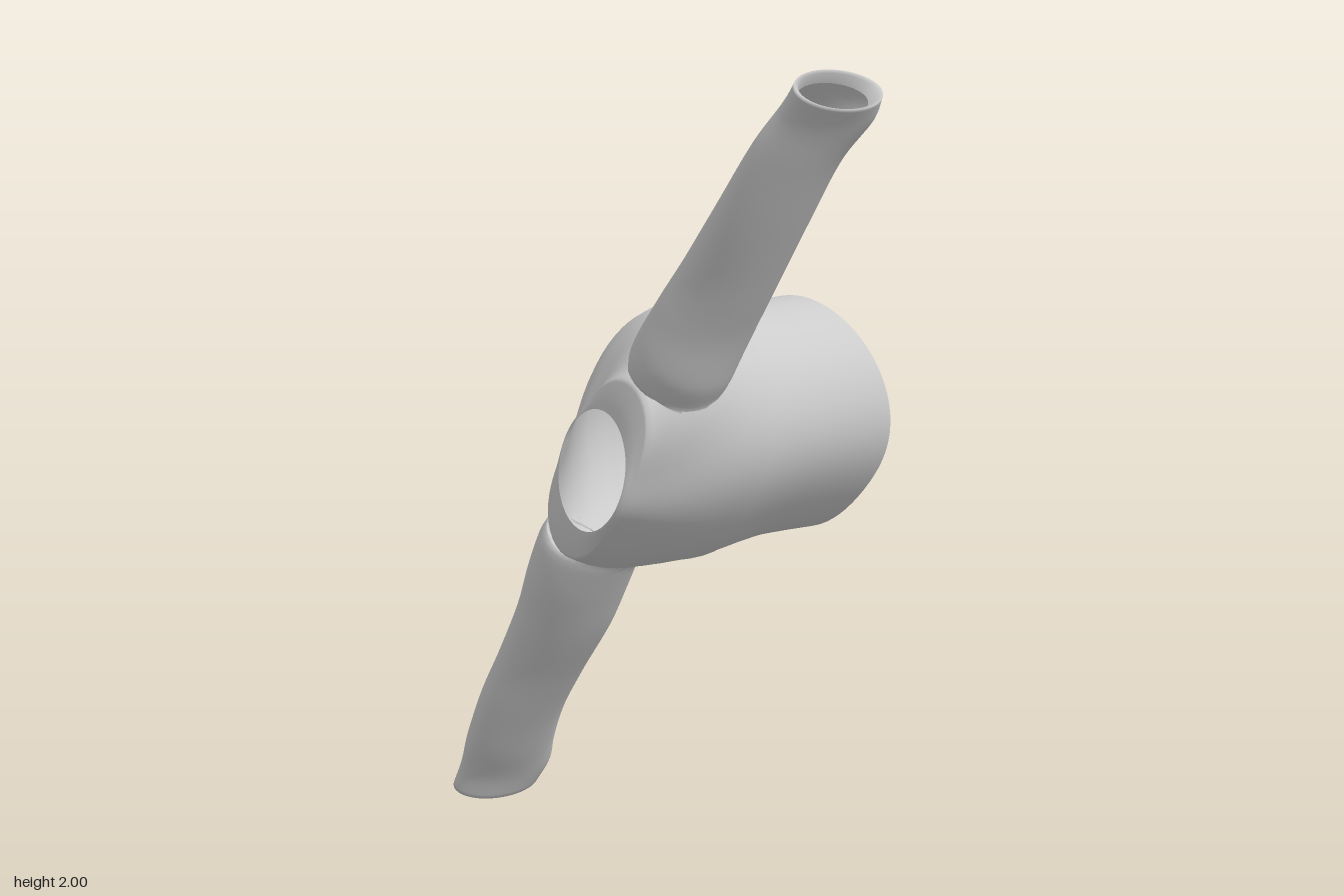
import * as THREE from 'three';

const material = new THREE.MeshStandardMaterial({ color: 0xcccccc, side: THREE.DoubleSide });
const lerp = THREE.MathUtils.lerp;
const V = (a) => new THREE.Vector3(...a);
const ARM_ANGLE = 0.98; // direction of the upper arm in the xy plane

// Body profile at z = -0.4, -0.3 ... 0.5: [radius, bulge towards the arms, centre shift]
const profile = new THREE.CatmullRomCurve3([
  [0.309, 0, 0], [0.306, 0, 0], [0.305, 0, 0], [0.313, 0, 0], [0.325, 0, 0],
  [0.315, 0.08, 0.1], [0.272, 0.27, 0.4], [0.214, 0.5, 0.75], [0.16, 0.65, 1], [0.155, 0.6, 1],
].map(V));

// Centre and radius of the body wall at height z and angle a
function wall(z, a) {
  const p = profile.getPoint(THREE.MathUtils.clamp((z + 0.4) / 0.9, 0, 1));
  const bulge = Math.cos(a - ARM_ANGLE) ** 4;
  // slightly taller than wide, and flatter towards the lower right
  const shape = 1 - (1 - p.z) * (0.012 * Math.cos(2 * a) + 0.06 * Math.max(0, Math.cos(a + 0.7)) ** 8);
  return { x: lerp(-0.1, -0.03, p.z), y: lerp(1.05, 1.0, p.z), r: p.x * shape * (1 + p.y * bulge) };
}

// Smooth skin through closed rings of points
function loft(name, rings) {
  const n = rings[0].length, index = [];
  for (let i = 0; i < rings.length - 1; i++) {
    for (let j = 0; j < n; j++) {
      const k = (j + 1) % n, a = i * n, b = a + n;
      index.push(a + j, a + k, b + k, a + j, b + k, b + j);
    }
  }
  const g = new THREE.BufferGeometry().setFromPoints(rings.flat());
  g.setIndex(index);
  g.computeVertexNormals();
  const mesh = new THREE.Mesh(g, material);
  mesh.name = name;
  return mesh;
}

// Wide open tube, tapering to a small round opening at the front
function body() {
  const rings = [], rows = 56, n = 72;
  // lip = 0 follows the wall, lip = 1 reaches the edge of the front opening
  const addRing = (v, lip) => {
    const ring = [];
    for (let j = 0; j < n; j++) {
      const a = (j / n) * Math.PI * 2;
      const back = -0.385 - 0.045 * Math.max(0, Math.cos(a + 0.1)) ** 2 + 0.012 * Math.min(0, Math.cos(a)) ** 2;
      const front = 0.385 - 0.022 * Math.sin(a) + 0.022 * Math.cos(a);
      const w = wall(lerp(-0.4, 0.4, v), a);
      const rim = 0.15 * (1 + 0.03 * Math.cos(2 * (a - ARM_ANGLE)));
      const r = lerp(w.r, rim, lip);
      const z = lerp(back, front, v) + 0.016 * Math.sin(lip * Math.PI / 2);
      ring.push(new THREE.Vector3(w.x + r * Math.cos(a), w.y + r * Math.sin(a), z));
    }
    rings.push(ring);
  };
  for (let i = 0; i <= rows; i++) addRing(i / rows, 0);
  for (const lip of [0.1, 0.25, 0.5, 0.75, 1]) addRing(1, lip);
  return loft('body', rings);
}

// Flattened side tube: stations are [x, y, z, half width, half depth]
function arm(name, stations) {
  const path = new THREE.CatmullRomCurve3(stations.map((s) => V(s.slice(0, 3))));
  const size = new THREE.CatmullRomCurve3(stations.map((s) => V([s[3], s[4], 0])));
  const rings = [], rows = 44, n = 40;
  const addRing = (t, scale, inset) => {
    const c = path.getPoint(t), s = size.getPoint(t), d = path.getTangent(t).setZ(0).normalize();
    const ring = [];
    for (let j = 0; j < n; j++) {
      const a = (j / n) * Math.PI * 2;
      const w = s.x * scale * Math.cos(a), h = s.y * scale * Math.sin(a);
      const p = new THREE.Vector3(c.x - d.y * w - d.x * inset, c.y + d.x * w - d.y * inset, c.z + h);
      // keep the root of the arm out of the hollow body
      const o = wall(p.z, 0), angle = Math.atan2(p.y - o.y, p.x - o.x);
      const r = wall(p.z, angle).r * 0.99;
      if (Math.hypot(p.x - o.x, p.y - o.y) < r) {
        p.x = o.x + r * Math.cos(angle);
        p.y = o.y + r * Math.sin(angle);
      }
      ring.push(p);
    }
    rings.push(ring);
  };
  for (let i = 0; i <= rows; i++) addRing(i / rows, 1, 0);
  // rolled-in lip at the open end
  addRing(1, 0.9, 0.005);
  addRing(1, 0.8, 0.03);
  return loft(name, rings);
}

export function createModel() {
  const model = new THREE.Group();
  model.name = 'branchedTube';
  model.add(
    body(),
    arm('upperArm', [
      [0.1, 1.19, 0.25, 0.1, 0.12], [0.15, 1.285, 0.255, 0.114, 0.148], [0.215, 1.39, 0.245, 0.106, 0.147],
      [0.295, 1.5, 0.24, 0.098, 0.14], [0.415, 1.66, 0.242, 0.085, 0.138], [0.53, 1.82, 0.235, 0.075, 0.135],
      [0.603, 1.91, 0.212, 0.068, 0.145], [0.646, 1.959, 0.225, 0.066, 0.137],
    ]),
    arm('lowerArm', [
      [-0.14, 0.86, 0.255, 0.1, 0.12], [-0.2, 0.77, 0.26, 0.118, 0.148], [-0.25, 0.68, 0.258, 0.112, 0.15],
      [-0.31, 0.575, 0.25, 0.104, 0.145], [-0.41, 0.425, 0.25, 0.093, 0.135], [-0.49, 0.3, 0.252, 0.086, 0.135],
      [-0.56, 0.18, 0.238, 0.078, 0.142], [-0.61, 0.095, 0.217, 0.071, 0.148], [-0.643, 0.034, 0.225, 0.067, 0.14],
    ]),
  );
  return model;
}
